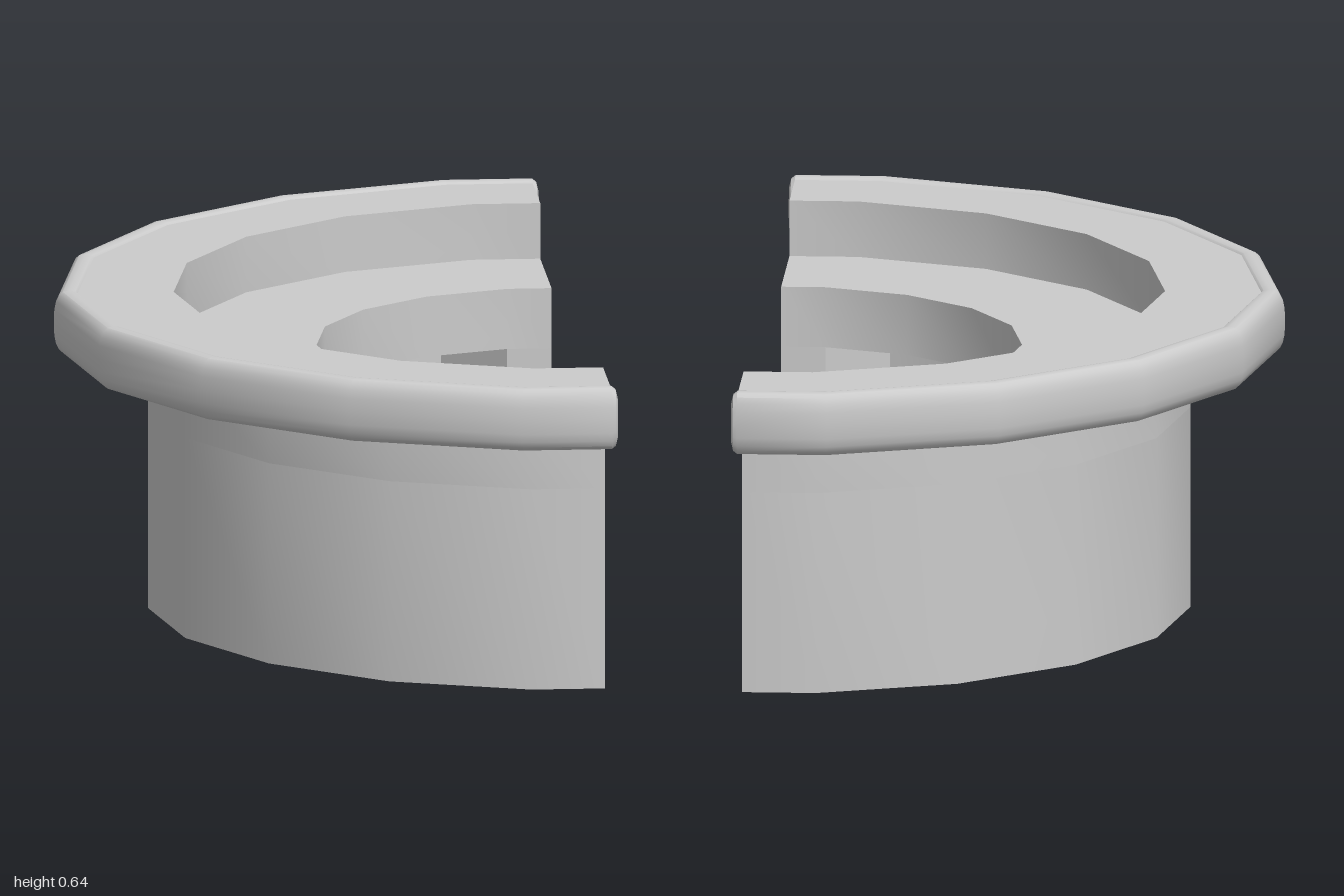
import * as THREE from 'three';
import { toCreasedNormals, mergeVertices } from 'three/addons/utils/BufferGeometryUtils.js';

const CX = 0.5; // the ring is centred on the cut plane x = 0.5
const rad = THREE.MathUtils.degToRad;
const ANGLES = [-90, -80, -60, -40, -20, 0, 20, 40, 60, 80, 90];
const material = new THREE.MeshStandardMaterial({ color: 0xcccccc, side: THREE.DoubleSide });

// Point on an 18-sided ring; the ends lie halfway along a side
function ringPoint(r, deg) {
  const k = Math.abs(deg) === 90 ? r * Math.cos(rad(10)) : r;
  return new THREE.Vector2(CX - k * Math.cos(rad(deg)), k * Math.sin(rad(deg)));
}
const arc = (r) => ANGLES.map((a) => ringPoint(r, a));

function addMesh(group, name, geometry) {
  const mesh = new THREE.Mesh(toCreasedNormals(geometry, rad(32)), material);
  mesh.name = name;
  group.add(mesh);
}

// Half ring between two plan outlines, from height y0 to y1
function slab(inner, outer, y0, y1) {
  const shape = new THREE.Shape([...outer, ...inner.slice().reverse()]);
  const g = new THREE.ExtrudeGeometry(shape, { depth: y1 - y0, bevelEnabled: false });
  return g.rotateX(-Math.PI / 2).translate(0, y0, 0);
}

// Rounded bead swept along the half ring, with domed ends
function beadGeometry() {
  const R = 0.985, Y = 0.574, W = 0.03, H = 0.063, N = 20;
  const rings = ANGLES.map((a) => ({ a, s: 1, dx: 0 }));
  const dome = [[0, 0.012], [0.65, 0.012], [0.9, 0.008]];
  rings.unshift(...dome.map(([s, dx]) => ({ a: -90, s, dx })));
  rings.push(...dome.slice().reverse().map(([s, dx]) => ({ a: 90, s, dx })));
  const pos = [], idx = [];
  const soft = (v) => Math.sign(v) * Math.pow(Math.abs(v), 0.75);
  for (const { a, s, dx } of rings) {
    for (let j = 0; j < N; j++) {
      const t = (j / N) * Math.PI * 2;
      const p = ringPoint(R + W * s * soft(Math.cos(t)), a);
      pos.push(p.x + dx, Y + H * s * soft(Math.sin(t)), p.y);
    }
  }
  for (let i = 0; i < rings.length - 1; i++) {
    for (let j = 0; j < N; j++) {
      const k = (j + 1) % N;
      const a = i * N + j, b = i * N + k, c = b + N, d = a + N;
      if (i < rings.length - 2) idx.push(a, d, c);
      if (i > 0) idx.push(a, c, b);
      else if (rings.length < 3) idx.push(a, c, b);
    }
  }
  const g = new THREE.BufferGeometry();
  g.setAttribute('position', new THREE.Float32BufferAttribute(pos, 3));
  g.setIndex(idx);
  return mergeVertices(g);
}

export function createModel() {
  const model = new THREE.Group();
  model.name = 'halfFlangedBushing';

  // Lower wall: thin in the middle, full thickness at the two end posts
  const recess = [-90, -80].map((a) => ringPoint(0.5, a));
  recess.push(new THREE.Vector2(CX - 0.205, -0.632));
  recess.push(...[-60, -40, -20, 0].map((a) => ringPoint(0.665, a)));
  const mirrored = recess.slice(0, -1).reverse().map((p) => new THREE.Vector2(p.x, -p.y));
  addMesh(model, 'lowerWall', slab([...recess, ...mirrored], arc(0.83), 0, 0.4));

  // Thick inner lip and seat above the recess
  addMesh(model, 'seatRing', slab(arc(0.5), arc(0.83), 0.4, 0.52));

  // Flange plate and its rounded edge
  addMesh(model, 'flange', slab(arc(0.78), arc(0.985), 0.515, 0.631));
  addMesh(model, 'rimBead', beadGeometry());
  return model;
}
